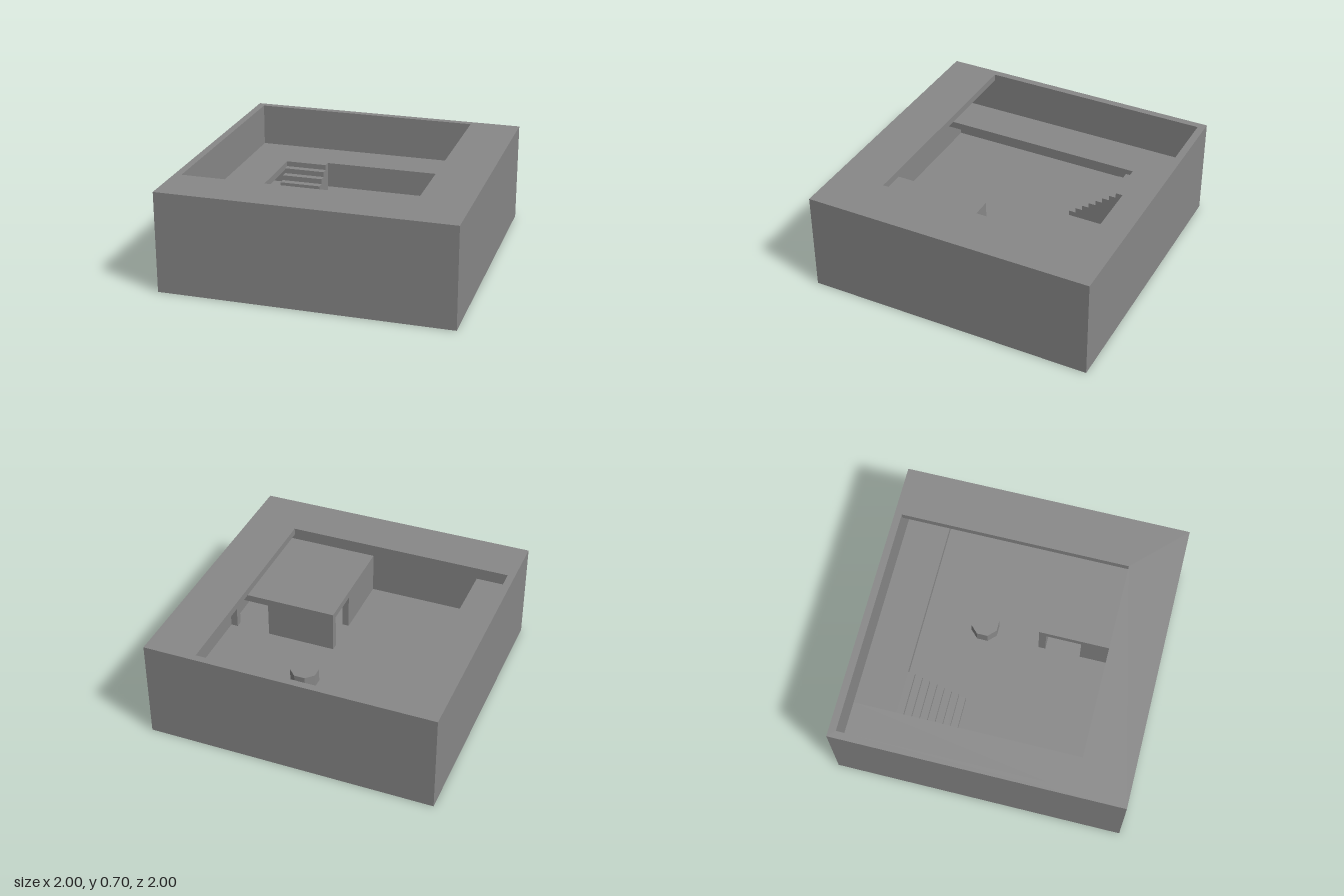
import * as THREE from 'three';

const material = new THREE.MeshStandardMaterial({ color: 0x888888 });

// Box given by its limits on each axis.
function block(name, [x0, x1], [y0, y1], [z0, z1]) {
  const mesh = new THREE.Mesh(new THREE.BoxGeometry(x1 - x0, y1 - y0, z1 - z0), material);
  mesh.position.set((x0 + x1) / 2, (y0 + y1) / 2, (z0 + z1) / 2);
  mesh.name = name;
  return mesh;
}

// Horizontal slab with square outline and a square hole, from y0 to y1.
function ring(name, y0, y1, holeMin, holeMax) {
  // Counter-clockwise corners, so that the hole's sides face inwards
  const corners = (a, b) => [[a, a], [a, b], [b, b], [b, a]].map(([x, z]) => new THREE.Vector2(x, -z));
  const shape = new THREE.Shape(corners(-1, 1));
  shape.holes.push(new THREE.Path(corners(holeMin, holeMax)));
  const geometry = new THREE.ExtrudeGeometry(shape, { depth: y1 - y0, bevelEnabled: false });
  geometry.rotateX(-Math.PI / 2).translate(0, y0, 0);
  const mesh = new THREE.Mesh(geometry, material);
  mesh.name = name;
  return mesh;
}

export function createModel() {
  const model = new THREE.Group();
  model.name = 'cellar';

  // Shell: floor, outer walls and the roof overhanging two sides
  model.add(
    block('floor', [-1, 1], [0, 0.1], [-1, 1]),
    ring('outerWalls', 0.1, 0.65, -0.95, 0.95),
    ring('roof', 0.65, 0.7, -0.95, 0.65),
  );

  // Thin L-shaped gallery along two walls
  const gallery = new THREE.Group();
  gallery.name = 'gallery';
  gallery.add(
    block('sideGallery', [-0.95, -0.65], [0.35, 0.4], [-0.95, 0.95]),
    block('backGallery', [-0.65, 0.95], [0.35, 0.4], [-0.95, -0.65]),
  );
  model.add(gallery);

  // Solid stairs; the top step is level with the gallery
  const stairs = new THREE.Group();
  stairs.name = 'stairs';
  const steps = 8;
  for (let i = 0; i < steps; i++) {
    const z = -0.65 + i * 0.05;
    stairs.add(block('step', [-0.65, -0.35], [0.1, 0.4 - (i * 0.3) / steps], [z, z + 0.05]));
  }
  model.add(stairs);

  // Corner room with a doorway in each of its two walls
  const room = new THREE.Group();
  room.name = 'cornerRoom';
  room.add(
    block('roomCeiling', [0.15, 0.95], [0.35, 0.4], [0.15, 0.95]),
    block('roomBackWall', [0.15, 0.65], [0.1, 0.35], [0.15, 0.2]),
    block('doorPost', [0.9, 0.95], [0.1, 0.35], [0.15, 0.2]),
    block('roomSideWall', [0.15, 0.2], [0.1, 0.35], [0.45, 0.95]),
  );
  model.add(room);

  // Low octagonal table with flat sides
  const tableGeometry = new THREE.CylinderGeometry(0.1, 0.1, 0.1, 8).toNonIndexed();
  tableGeometry.computeVertexNormals();
  const table = new THREE.Mesh(tableGeometry, material);
  table.name = 'table';
  table.rotation.y = Math.PI / 8;
  table.position.set(0.2, 0.15, -0.25);
  model.add(table);

  return model;
}
